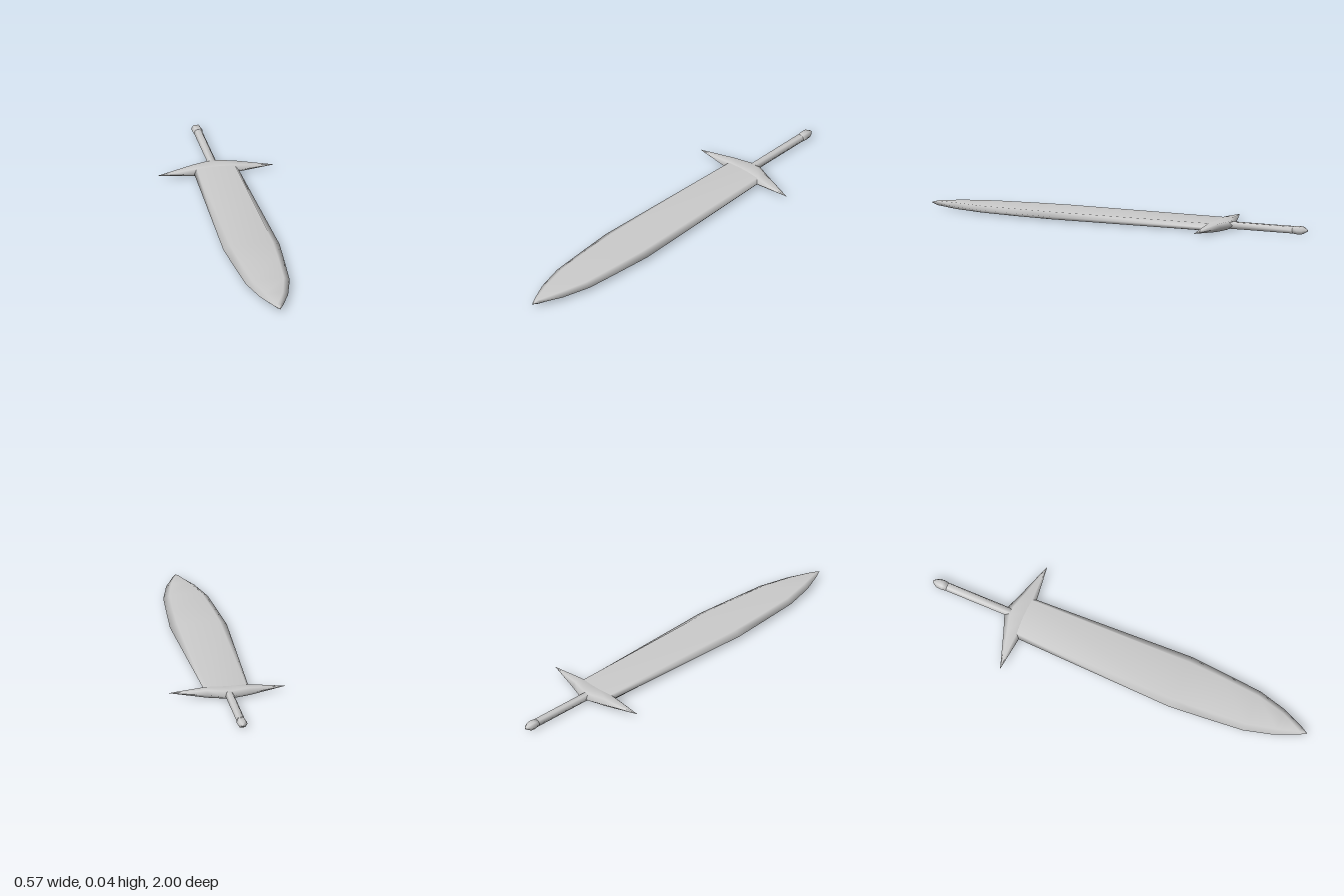
import * as THREE from 'three';

const material = new THREE.MeshStandardMaterial({ color: 0xcccccc });
const MID = 0.02; // height of the central plane

// Lofts flat hexagonal sections along +z.
// Section: [z, half width at the edge, half width of the flat, half thickness, x offset]
function loft(name, sections) {
  const pos = [], index = [], n = 6;
  for (const [z, w, f, h, cx = 0] of sections) {
    const ring = [[w, 0], [f, h], [-f, h], [-w, 0], [-f, -h], [f, -h]];
    for (const [x, y] of ring) pos.push(cx + x, y, z);
  }
  for (let s = 0; s < sections.length - 1; s++) {
    for (let i = 0; i < n; i++) {
      const a = s * n + i, b = s * n + (i + 1) % n;
      index.push(a, b, b + n, a, b + n, a + n);
    }
  }
  // end caps
  const last = (sections.length - 1) * n;
  for (let i = 1; i < n - 1; i++) {
    index.push(0, i + 1, i);
    index.push(last, last + i, last + i + 1);
  }
  const geometry = new THREE.BufferGeometry();
  geometry.setAttribute('position', new THREE.Float32BufferAttribute(pos, 3));
  geometry.setIndex(index);
  geometry.computeVertexNormals();
  const mesh = new THREE.Mesh(geometry, material);
  mesh.name = name;
  mesh.position.y = MID;
  return mesh;
}

export function createModel() {
  const group = new THREE.Group();
  group.name = 'sword';

  // Leaf-shaped blade with bevelled edges, point towards +z
  group.add(loft('blade', [
    [-0.54, 0.11, 0.094, 0.0185],
    [0.32, 0.141, 0.106, 0.0185],
    [0.5, 0.127, 0.096, 0.018],
    [0.7, 0.11, 0.08, 0.0165],
    [0.85, 0.07, 0.044, 0.0155],
    [0.96, 0.021, 0.008, 0.011],
    [0.995, 0.001, 0.0005, 0.001],
  ]));

  // Crossguard: sections across its span, [x, back z, front z, half thickness]
  const half = [
    [0.025, -0.61, -0.495, 0.0195],
    [0.105, -0.58, -0.495, 0.0192],
    [0.287, -0.519, -0.517, 0.0005],
  ];
  const span = [...half.map(([x, ...r]) => [-x, ...r]).reverse(), ...half];
  const guard = loft('crossguard', span.map(([x, back, front, h]) => {
    const w = (front - back) / 2;
    return [x, w, w * 0.55, h, -(front + back) / 2];
  }));
  guard.rotation.y = Math.PI / 2;
  group.add(guard);

  // Grip running into the guard
  group.add(loft('grip', [
    [-0.95, 0.022, 0.012, 0.0165],
    [-0.58, 0.022, 0.012, 0.0165],
  ]));

  // Faceted pommel
  group.add(loft('pommel', [
    [-1, 0.006, 0.003, 0.004],
    [-0.975, 0.024, 0.013, 0.017],
    [-0.95, 0.026, 0.014, 0.019],
    [-0.925, 0.022, 0.012, 0.0165],
  ]));

  return group;
}
